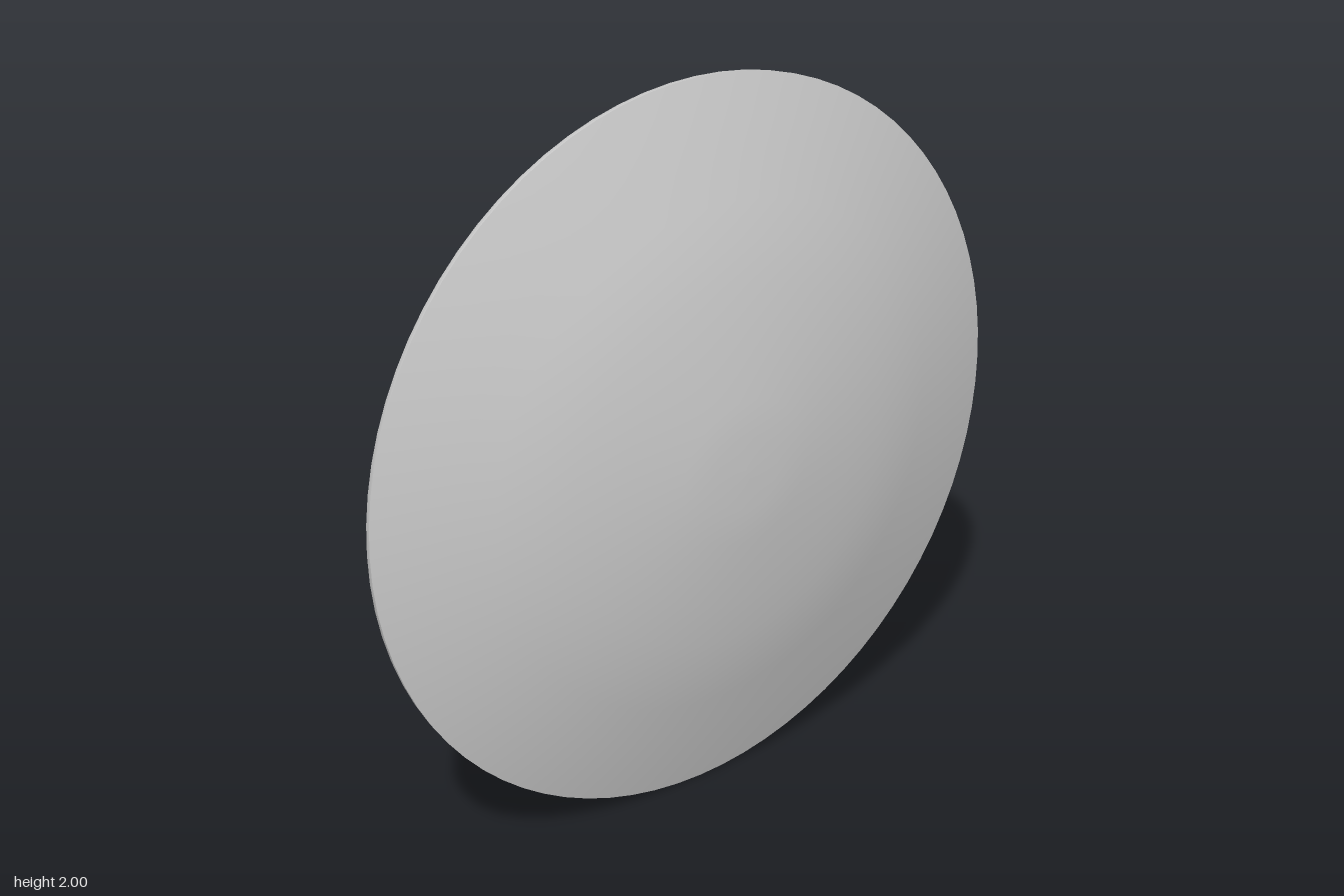
import * as THREE from 'three';
import { toCreasedNormals } from 'three/addons/utils/BufferGeometryUtils.js';

const material = new THREE.MeshStandardMaterial({ color: 0xcccccc });
const V = (x, y, z) => new THREE.Vector3(x, y, z);

// Hollow of the dish as [radius, z] rings
const INNER = [[0, 0.117], [0.38, 0.115], [0.6, 0.065], [0.8, 0.002], [0.955, -0.045]];

function innerZ(r) {
  for (let i = 1; i < INNER.length; i++) {
    const [r0, z0] = INNER[i - 1], [r1, z1] = INNER[i];
    if (r <= r1 || i === INNER.length - 1) return z0 + (z1 - z0) * (r - r0) / (r1 - r0);
  }
}

function add(parent, name, geometry) {
  const mesh = new THREE.Mesh(geometry, material);
  mesh.name = name;
  parent.add(mesh);
  return mesh;
}

function lathe(parent, name, profile) {
  const pts = profile.map(([r, z]) => new THREE.Vector2(r, z));
  add(parent, name, new THREE.LatheGeometry(pts, 80).rotateX(Math.PI / 2)).position.y = 1;
}

// Strap fittings use local axes: x away from the dish, y along the strap, z across it
function fittingGroup(parent, name, position, out, along) {
  const group = new THREE.Group();
  group.name = name;
  const x = out.clone().normalize();
  const y = along.clone().addScaledVector(x, -along.dot(x)).normalize();
  group.quaternion.setFromRotationMatrix(new THREE.Matrix4().makeBasis(x, y, x.clone().cross(y)));
  group.position.copy(position);
  parent.add(group);
  return group;
}

// Leather band: a side path given thickness, then extruded across its width
function band(parent, name, path, width, thick, { closed = false, tip = 0 } = {}) {
  const curve = new THREE.CatmullRomCurve3(path.map(([x, y]) => V(x, y, 0)), closed);
  const n = closed ? 56 : 36;
  const sides = [-1, 1].map((s) => Array.from({ length: closed ? n : n + 1 }, (_, i) => {
    const p = curve.getPoint(i / n), t = curve.getTangent(i / n);
    return new THREE.Vector2(p.x - s * t.y * thick / 2, p.y + s * t.x * thick / 2);
  }));
  let shape;
  if (closed) {
    const [a, b] = sides;
    const area = (q) => Math.abs(THREE.ShapeUtils.area(q));
    shape = new THREE.Shape(area(a) > area(b) ? a : b);
    shape.holes.push(new THREE.Path(area(a) > area(b) ? b : a));
  } else {
    shape = new THREE.Shape([...sides[0], ...sides[1].reverse()]);
  }
  const geo = new THREE.ExtrudeGeometry(shape, { depth: width, bevelEnabled: false });
  geo.translate(0, 0, -width / 2);
  if (tip) { // narrow the free end to a blunt point
    const pos = geo.attributes.position, end = path[path.length - 1][1];
    for (let i = 0; i < pos.count; i++) {
      const k = THREE.MathUtils.clamp((pos.getY(i) - end) / tip, 0, 1);
      pos.setZ(i, pos.getZ(i) * (0.45 + 0.55 * k));
    }
  }
  return add(parent, name, toCreasedNormals(geo, 0.6));
}

function roundedRect(target, w, h, r) {
  const x = w / 2, y = h / 2;
  target.moveTo(-x + r, -y).lineTo(x - r, -y).quadraticCurveTo(x, -y, x, -y + r)
    .lineTo(x, y - r).quadraticCurveTo(x, y, x - r, y)
    .lineTo(-x + r, y).quadraticCurveTo(-x, y, -x, y - r)
    .lineTo(-x, -y + r).quadraticCurveTo(-x, -y, -x + r, -y);
  return target;
}

// Buckle: rounded frame with a prong
function buckle(parent, name, x, y, tilt, w, h, prong = true) {
  const group = new THREE.Group();
  group.name = name;
  group.position.set(x, y, 0);
  group.rotation.z = tilt;
  parent.add(group);
  const shape = roundedRect(new THREE.Shape(), w, h, 0.01);
  shape.holes.push(roundedRect(new THREE.Path(), w - 0.028, h - 0.028, 0.004));
  const geo = new THREE.ExtrudeGeometry(shape,
    { depth: 0.008, bevelSize: 0.002, bevelThickness: 0.002, bevelSegments: 1, curveSegments: 4 });
  add(group, 'buckleFrame', geo.translate(0, 0, -0.004).rotateY(-Math.PI / 2));
  if (prong) {
    add(group, 'bucklePin', new THREE.CylinderGeometry(0.005, 0.005, h + 0.01, 8)).position.x = 0.008;
  }
}

function roller(parent, name, x, y, radius, length) {
  const geo = new THREE.CylinderGeometry(radius, radius, length, 16).rotateX(Math.PI / 2);
  add(parent, name, geo).position.set(x, y, 0);
}

// C-shaped backing plate draped over the hollow, with a skirt around its edge
function backingPlate(parent) {
  const inner = [[0.74, 0.58], [0.35, 0.3], [0.35, -0.3], [0.74, -0.58]];
  const outer = [[0.84, 0.43], [0.55, 0.25], [0.55, -0.25], [0.84, -0.43]];
  const along = 36, across = 8, pos = [], index = [];
  const at = (line, t) => {
    const k = Math.min(2, Math.floor(t)), f = t - k;
    return [0, 1].map((c) => line[k][c] + (line[k + 1][c] - line[k][c]) * f);
  };
  const row = across + 3;
  for (let i = -1; i <= along + 1; i++) {
    const t = THREE.MathUtils.clamp(i / along, 0, 1) * 3;
    const a = at(inner, t), b = at(outer, t);
    for (let j = -1; j <= across + 1; j++) {
      const s = THREE.MathUtils.clamp(j / across, 0, 1);
      const x = a[0] + (b[0] - a[0]) * s, y = a[1] + (b[1] - a[1]) * s;
      const edge = i < 0 || j < 0 || i > along || j > across;
      pos.push(x, y + 1, innerZ(Math.hypot(x, y)) - (edge ? 0 : 0.012));
      if (i <= along && j <= across) {
        const p = (i + 1) * row + j + 1;
        index.push(p, p + 1, p + row, p + 1, p + row + 1, p + row);
      }
    }
  }
  const geo = new THREE.BufferGeometry();
  geo.setAttribute('position', new THREE.Float32BufferAttribute(pos, 3));
  geo.setIndex(index);
  add(parent, 'backingPlate', toCreasedNormals(geo, 0.15));
}

// Short strap lying on one arm of the plate, buckled at both ends
function anchorStrap(parent, s) {
  const c = Math.cos(0.54), d = Math.sin(0.54) * s;
  const g = fittingGroup(parent, s > 0 ? 'upperAnchorStrap' : 'lowerAnchorStrap',
    V(0.63, 1 + 0.41 * s, innerZ(0.752) - 0.012), V(-0.3 * c, -0.3 * d, -1), V(c, d, -0.3));
  band(g, 'strap', [[0.006, -0.17], [0.03, -0.145], [0.022, -0.07], [0.012, 0], [0.018, 0.05],
    [0.038, 0.085], [0.036, 0.115], [0.012, 0.15]], 0.095, 0.01);
  band(g, 'strapEnd', [[0.01, 0.08], [0.012, 0.13], [0.008, 0.18]], 0.085, 0.01);
  buckle(g, 'outerBuckle', 0.024, 0.145, 0.25, 0.125, 0.06);
  buckle(g, 'innerBuckle', 0.028, -0.15, -0.2, 0.125, 0.05);
}

// Standing loop for the arm, with its buckle, keeper and hanging tail
function armStrap(parent) {
  const a = 0.14;
  const g = fittingGroup(parent, 'armStrap', V(0.443, 1, 0), V(-Math.sin(a), 0, -Math.cos(a)), V(0, 1, 0));
  band(g, 'loop', [[-0.075, 0], [-0.07, 0.12], [-0.035, 0.19], [0.05, 0.205], [0.105, 0.165],
    [0.128, 0.08], [0.132, 0], [0.118, -0.1], [0.06, -0.195], [-0.035, -0.19], [-0.07, -0.12]],
  0.115, 0.012, { closed: true });
  band(g, 'tail', [[0.112, 0.17], [0.14, 0.13], [0.15, 0.05], [0.148, -0.03], [0.132, -0.1],
    [0.1, -0.18], [0.086, -0.23], [0.102, -0.285], [0.145, -0.348]], 0.115, 0.011, { tip: 0.05 });
  band(g, 'innerFlap', [[0.122, 0.09], [0.09, 0.05], [0.095, 0.01], [0.112, -0.03], [0.105, -0.08]], 0.1, 0.01);
  buckle(g, 'armBuckle', 0.142, 0.15, 0.25, 0.148, 0.07);
  buckle(g, 'strapKeeper', 0.15, -0.03, -0.08, 0.138, 0.034, false);
  for (const s of [-1, 1]) {
    roller(g, 'hingeRoller', -0.052, 0.23 * s, 0.02, 0.12);
    roller(g, 'hingePin', -0.052, 0.23 * s, 0.009, 0.15);
    buckle(g, 'hingeFrame', -0.055, 0.215 * s, 0.25 * s, 0.14, 0.06, false);
    for (const w of [-0.035, 0.035]) {
      add(g, 'rivet', new THREE.SphereGeometry(0.009, 10, 6)).position.set(-0.066, 0.14 * s, w);
    }
  }
}

export function createModel() {
  const model = new THREE.Group();
  model.name = 'roundShield';

  // Domed front and rolled rim
  lathe(model, 'dome', [[1, -0.033], [0.9, 0.001], [0.8, 0.032], [0.7, 0.063], [0.6, 0.092],
    [0.5, 0.113], [0.38, 0.135], [0.2, 0.159], [0.1, 0.165], [0, 0.166]]);
  lathe(model, 'rim', [[0.955, -0.045], [0.96, -0.055], [0.99, -0.055], [0.998, -0.049], [1, -0.033]]);

  // Hollow back in stepped rings with a crease between them
  for (let i = 1; i < INNER.length; i++) lathe(model, 'hollowRing', [INNER[i - 1], INNER[i]]);

  // Matching harness on each side
  for (const side of [1, -1]) {
    const harness = new THREE.Group();
    harness.name = side > 0 ? 'leftHarness' : 'rightHarness';
    backingPlate(harness);
    anchorStrap(harness, 1);
    anchorStrap(harness, -1);
    armStrap(harness);
    harness.scale.x = side;
    model.add(harness);
  }
  return model;
}
